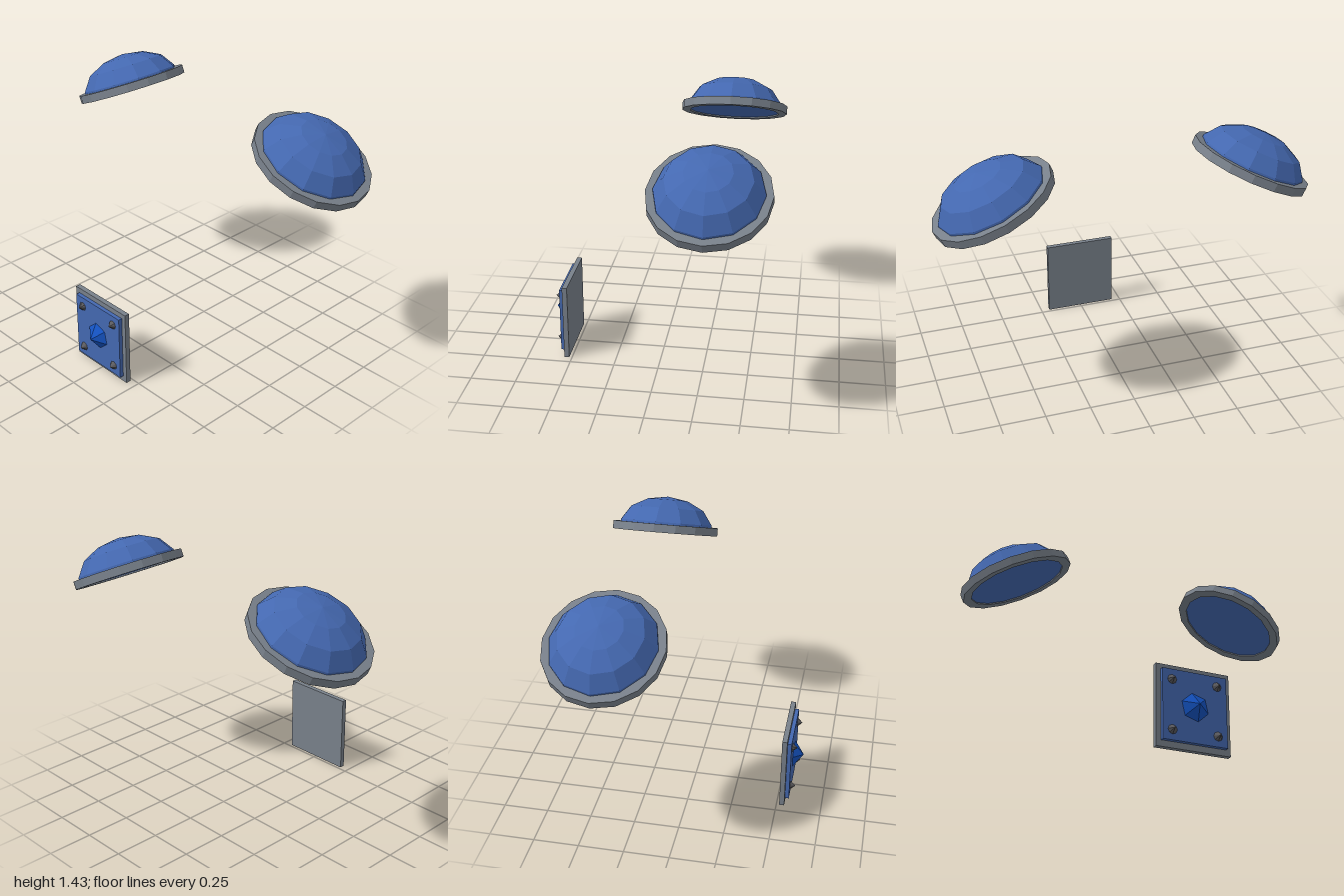
import * as THREE from 'three';

const paint = (color) => new THREE.MeshStandardMaterial({ color, flatShading: true });

export function createModel() {
  const model = new THREE.Group();
  const steel = paint(0x78808a);
  const blue = paint(0x4468b0);
  const gemBlue = paint(0x1452c0);
  const darkSteel = paint(0x5c5c60);

  const add = (parent, name, geometry, material, x = 0, y = 0, z = 0) => {
    const mesh = new THREE.Mesh(geometry, material);
    mesh.name = name;
    mesh.position.set(x, y, z);
    parent.add(mesh);
    return mesh;
  };
  const lathe = (points, sides) =>
    new THREE.LatheGeometry(points.map(([r, y]) => new THREE.Vector2(r, y)), sides);

  // Shoulder guards: a closed faceted dome set in a flat rim, tilted outwards
  const domeProfile = [[0, -0.015], [0.294, -0.015], [0.29, 0.035], [0.23, 0.115], [0.128, 0.163], [0, 0.182]];
  const rimProfile = [[0.28, -0.023], [0.33, -0.023], [0.33, 0.023], [0.28, 0.023], [0.28, -0.023]];
  const dome = lathe(domeProfile, 12);
  const rim = lathe(rimProfile, 16);
  for (const [name, side, x, y] of [['leftShoulderGuard', 1, 0.685, 1.227], ['rightShoulderGuard', -1, -0.689, 1.233]]) {
    const guard = new THREE.Group();
    guard.name = name;
    guard.position.set(x, y, -0.315);
    guard.rotation.z = -side * THREE.MathUtils.degToRad(25);
    guard.scale.z = 0.93;
    add(guard, 'shoulderDome', dome, blue);
    add(guard, 'shoulderRim', rim, steel);
    model.add(guard);
  }

  // Buckle: backing plate and raised inlay
  const buckle = new THREE.Group();
  buckle.name = 'buckle';
  buckle.position.y = 0.218;
  model.add(buckle);
  add(buckle, 'backPlate', new THREE.BoxGeometry(0.402, 0.436, 0.028), steel, 0, 0, 0.53);
  add(buckle, 'inlay', new THREE.BoxGeometry(0.35, 0.374, 0.024), blue, 0, 0.002, 0.554);

  // Six-sided gem pointing forwards
  const gem = new THREE.ConeGeometry(0.075, 0.056, 6).rotateX(Math.PI / 2).rotateZ(THREE.MathUtils.degToRad(12));
  add(buckle, 'gem', gem, gemBlue, 0, 0.003, 0.594);

  // Corner rivets
  const rivet = new THREE.ConeGeometry(0.025, 0.028, 8).rotateX(Math.PI / 2);
  for (const sx of [-1, 1])
    for (const sy of [-1, 1])
      add(buckle, 'rivet', rivet, darkSteel, sx * 0.123, 0.002 + sy * 0.132, 0.58);

  return model;
}
